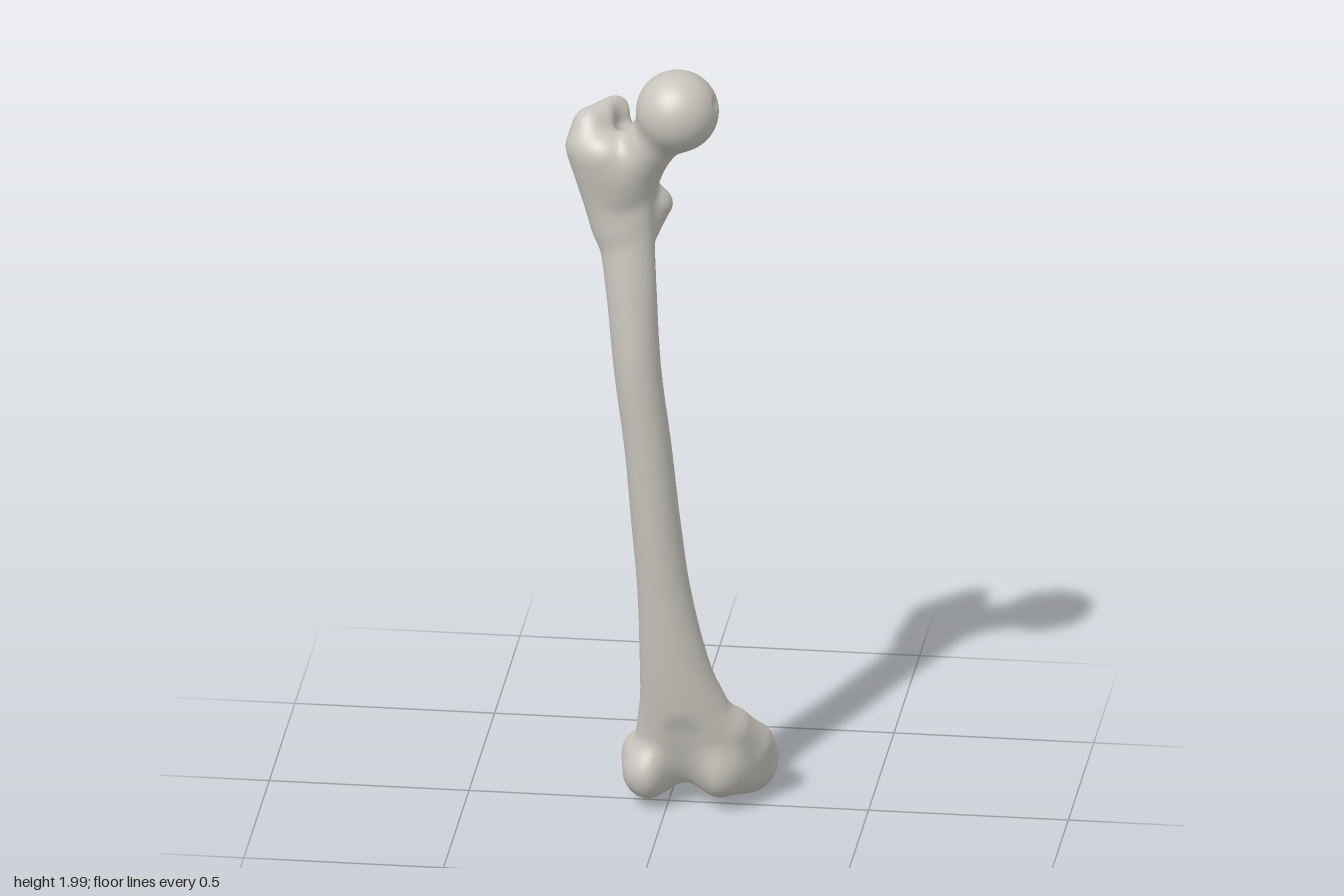
import * as THREE from 'three';

const V = (x, y, z) => new THREE.Vector3(x, y, z);
const lerp = THREE.MathUtils.lerp;

// Distance to a limb running from a to b whose radius goes from ra to rb
const limb = (a, ra, b, rb) => {
  const A = V(...a), D = V(...b).sub(A), len2 = D.lengthSq() || 1;
  return (x, y, z) => {
    const px = x - A.x, py = y - A.y, pz = z - A.z;
    const h = Math.min(1, Math.max(0, (px * D.x + py * D.y + pz * D.z) / len2));
    return Math.hypot(px - D.x * h, py - D.y * h, pz - D.z * h) - lerp(ra, rb, h);
  };
};
const ball = (c, r) => limb(c, r, c, r);

// Smooth union and smooth intersection with blend width k
const smin = (a, b, k) => {
  const h = Math.max(k - Math.abs(a - b), 0) / k;
  return Math.min(a, b) - h * h * k * 0.25;
};
const smax = (a, b, k) => -smin(-a, -b, k);

// Shaft cross-sections: height, right edge, left edge, back, front
const rings = [
  [0.07, -0.080, 0.190, -0.060, 0.075],
  [0.20, -0.080, 0.195, -0.058, 0.088],
  [0.30, -0.068, 0.150, -0.045, 0.105],
  [0.40, -0.066, 0.110, -0.020, 0.115],
  [0.60, -0.070, 0.064, 0.000, 0.126],
  [0.80, -0.085, 0.037, 0.007, 0.136],
  [1.00, -0.102, 0.016, 0.013, 0.140],
  [1.20, -0.127, -0.009, 0.016, 0.139],
  [1.40, -0.148, -0.022, 0.010, 0.120],
  [1.60, -0.180, -0.031, -0.018, 0.092],
  [1.78, -0.225, -0.020, -0.030, 0.092],
];
const ringAt = (y) => {
  let i = 0;
  while (i < rings.length - 2 && y > rings[i + 1][0]) i++;
  const a = rings[i], b = rings[i + 1];
  const p = rings[Math.max(i - 1, 0)], q = rings[Math.min(i + 2, rings.length - 1)];
  const t = Math.min(1, Math.max(0, (y - a[0]) / (b[0] - a[0])));
  const s = b[0] - a[0], t2 = t * t, t3 = t2 * t;
  return [1, 2, 3, 4].map((j) => {
    const ma = s * (b[j] - p[j]) / (b[0] - p[0]), mb = s * (q[j] - a[j]) / (q[0] - a[0]);
    return (2 * t3 - 3 * t2 + 1) * a[j] + (t3 - 2 * t2 + t) * ma + (3 * t2 - 2 * t3) * b[j] + (t3 - t2) * mb;
  });
};
const shaft = (x, y, z) => {
  const [x0, x1, z0, z1] = ringAt(y);
  const rx = (x1 - x0) / 2, rz = (z1 - z0) / 2;
  const u = (x - (x0 + x1) / 2) / rx, w = (z - (z0 + z1) / 2) / rz;
  const k0 = Math.hypot(u, w), k1 = Math.hypot(u / rx, w / rz);
  const side = k1 < 1e-6 ? -Math.min(rx, rz) : k0 * (k0 - 1) / k1;
  return smax(side, Math.max(y - 1.76, 0.065 - y), 0.05);
};

// Parts of the bone: name, blend width, solid
const solids = [
  ['shaft', 0.02, shaft],
  ['rearRidge', 0.025, limb([-0.02, 0.55, 0.022], 0.012, [-0.078, 1.25, 0.026], 0.016)],
  ['rearRidge', 0.03, limb([-0.078, 1.25, 0.026], 0.016, [-0.14, 1.6, -0.012], 0.024)],
  // upper end
  ['neck', 0.05, limb([0.02, 1.87, 0.06], 0.064, [-0.10, 1.73, 0.035], 0.070)],
  ['greaterTrochanter', 0.05, limb([-0.193, 1.78, 0.03], 0.060, [-0.135, 1.58, 0.03], 0.050)],
  ['greaterTrochanter', 0.04, limb([-0.155, 1.77, 0.06], 0.048, [-0.12, 1.68, 0.045], 0.045)],
  ['greaterTrochanter', 0.03, limb([-0.138, 1.846, -0.040], 0.038, [-0.195, 1.832, 0.015], 0.040)],
  ['greaterTrochanter', 0.03, limb([-0.150, 1.78, -0.036], 0.046, [-0.145, 1.64, 0.0], 0.035)],
  ['trochanterCrest', 0.04, limb([-0.125, 1.79, -0.035], 0.028, [-0.045, 1.63, -0.008], 0.026)],
  ['lesserTrochanter', 0.03, limb([-0.027, 1.615, -0.008], 0.036, [-0.045, 1.56, 0.008], 0.026)],
  ['head', 0.025, ball([0.03, 1.897, 0.065], 0.103)],
  // lower end
  ['medialCondyle', 0.04, limb([0.178, 0.097, -0.085], 0.085, [0.118, 0.115, 0.008], 0.078)],
  ['medialEpicondyle', 0.05, limb([0.205, 0.165, -0.05], 0.045, [0.165, 0.22, -0.01], 0.040)],
  ['lateralCondyle', 0.04, limb([-0.040, 0.105, -0.094], 0.071, [-0.040, 0.103, 0.026], 0.072)],
  ['lateralEpicondyle', 0.04, ball([-0.075, 0.145, -0.01], 0.036)],
];

// Hollows: blend width, solid to remove
const hollows = [
  [0.03, limb([0.065, 0.02, -0.20], 0.050, [0.062, 0.035, -0.03], 0.034)],  // notch between condyles
  [0.05, limb([0.048, -0.01, 0.06], 0.055, [0.045, 0.20, 0.148], 0.055)],   // kneecap groove
  [0.03, limb([-0.105, 1.885, -0.015], 0.030, [-0.105, 1.83, -0.01], 0.022)], // trochanteric fossa
  [0.015, ball([0.139, 1.927, 0.075], 0.018)],                               // pit in the head
];

const bone = (x, y, z) => {
  let d = 1;
  for (const [, k, f] of solids) d = smin(d, f(x, y, z), k);
  for (const [k, f] of hollows) d = smax(d, -f(x, y, z), k);
  return d;
};
const gradient = (p) => {
  const e = 0.002;
  return V(
    bone(p.x + e, p.y, p.z) - bone(p.x - e, p.y, p.z),
    bone(p.x, p.y + e, p.z) - bone(p.x, p.y - e, p.z),
    bone(p.x, p.y, p.z + e) - bone(p.x, p.y, p.z - e)).divideScalar(2 * e);
};
const nearestPart = (p) => {
  let best = 1e9, name = '';
  for (const [n, , f] of solids) {
    const d = f(p.x, p.y, p.z);
    if (d < best) { best = d; name = n; }
  }
  return name;
};

// Skin the blended solids with quads and sort the faces by part
function skin() {
  const step = 0.011, min = [-0.29, -0.03, -0.21];
  const n = [0.58, 2.07, 0.42].map((s) => Math.ceil(s / step));
  const stride = [1, n[0], n[0] * n[1]];
  const value = new Float32Array(n[0] * n[1] * n[2]);
  const at = (i, j, k) => V(min[0] + i * step, min[1] + j * step, min[2] + k * step);
  const each = (lo, fn) => {
    for (let k = lo; k < n[2] - 1; k++)
      for (let j = lo; j < n[1] - 1; j++)
        for (let i = lo; i < n[0] - 1; i++) fn(i, j, k, i + j * stride[1] + k * stride[2]);
  };
  value.fill(1);
  each(0, (i, j, k, id) => { const p = at(i, j, k); value[id] = bone(p.x, p.y, p.z); });

  // One vertex for each cell the surface crosses, pulled onto the surface
  const points = new Map();
  each(0, (i, j, k, id) => {
    const sum = V(0, 0, 0);
    let count = 0;
    for (let c = 0; c < 8; c++)
      for (let a = 0; a < 3; a++) {
        if (c >> a & 1) continue;
        const o = [c & 1, c >> 1 & 1, c >> 2 & 1];
        const s = id + o[0] + o[1] * stride[1] + o[2] * stride[2];
        const f = value[s], g = value[s + stride[a]];
        if ((f < 0) === (g < 0)) continue;
        o[a] += f / (f - g);
        sum.add(at(i + o[0], j + o[1], k + o[2]));
        count++;
      }
    if (!count) return;
    const pos = sum.divideScalar(count);
    for (let r = 0; r < 2; r++) {
      const g = gradient(pos);
      const move = bone(pos.x, pos.y, pos.z) / Math.max(g.lengthSq(), 0.2);
      pos.addScaledVector(g, -THREE.MathUtils.clamp(move, -step / 2, step / 2));
    }
    points.set(id, { pos, normal: gradient(pos).normalize() });
  });

  const parts = {};
  each(1, (i, j, k, id) => {
    for (let a = 0; a < 3; a++) {
      const inside = value[id] < 0;
      if (inside === value[id + stride[a]] < 0) continue;
      const b = stride[(a + 1) % 3], c = stride[(a + 2) % 3];
      const quad = [id - b - c, id - c, id, id - b].map((q) => points.get(q));
      if (!inside) quad.reverse();
      const part = parts[nearestPart(quad[0].pos)] ??= { position: [], normal: [] };
      for (const q of [0, 1, 2, 0, 2, 3]) {
        part.position.push(...quad[q].pos.toArray());
        part.normal.push(...quad[q].normal.toArray());
      }
    }
  });
  return parts;
}

export function createModel() {
  const group = new THREE.Group();
  group.name = 'thighBone';
  const material = new THREE.MeshStandardMaterial({ color: 0xc6c4bb });
  material.name = 'bone';
  for (const [name, data] of Object.entries(skin())) {
    const geometry = new THREE.BufferGeometry();
    for (const key of ['position', 'normal'])
      geometry.setAttribute(key, new THREE.Float32BufferAttribute(data[key], 3));
    const mesh = new THREE.Mesh(geometry, material);
    mesh.name = name;
    group.add(mesh);
  }
  return group;
}
